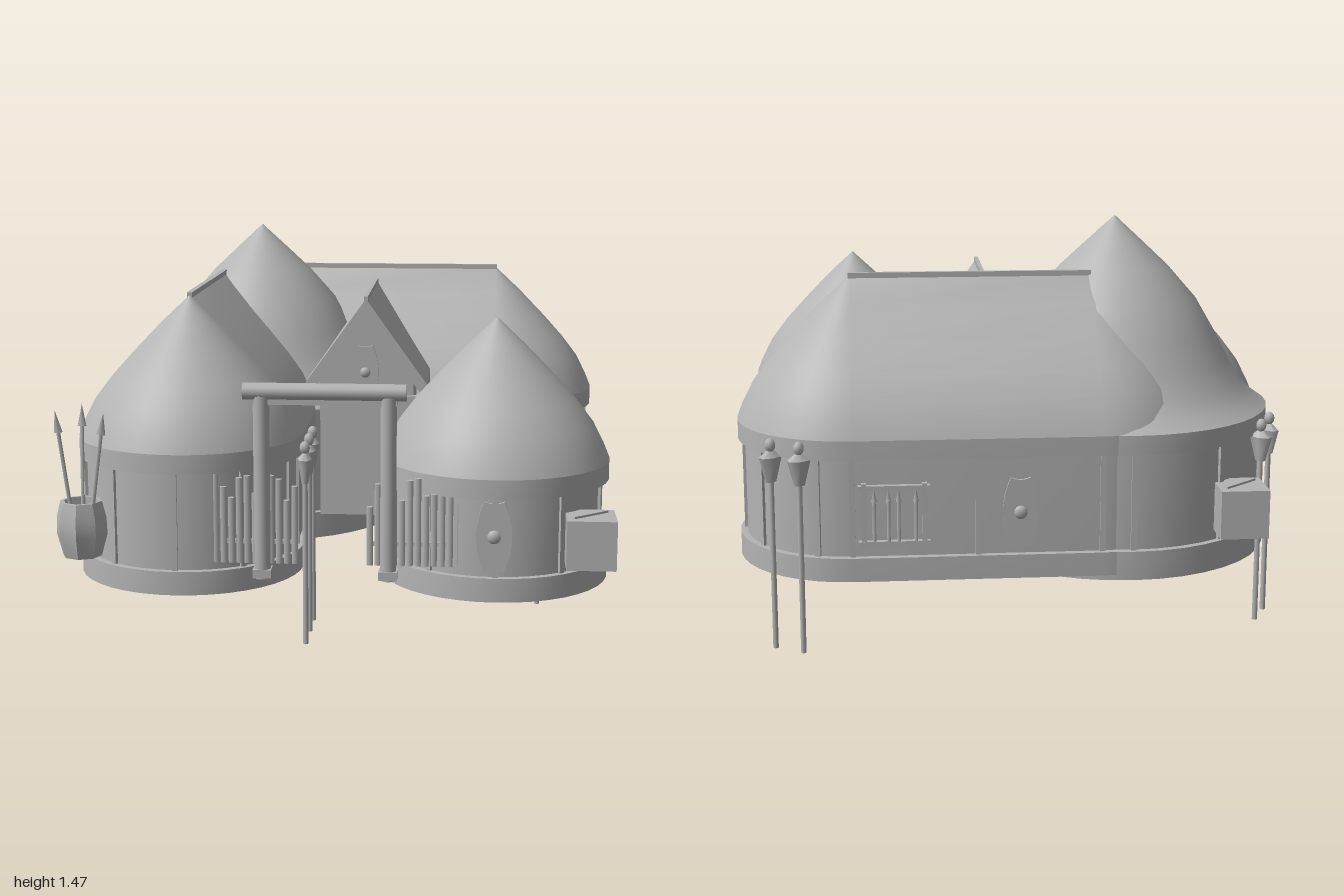
import * as THREE from 'three';
import { toCreasedNormals } from 'three/addons/utils/BufferGeometryUtils.js';

const grey = new THREE.MeshStandardMaterial({ color: 0xb4b4b4, side: THREE.DoubleSide });
grey.name = 'plain grey';

function add(parent, name, geometry, x = 0, y = 0, z = 0, ry = 0) {
  const m = new THREE.Mesh(geometry, grey);
  m.name = name;
  m.position.set(x, y, z);
  m.rotation.y = ry;
  parent.add(m);
  return m;
}
const box = (w, h, d) => new THREE.BoxGeometry(w, h, d);
const rod = (r, h, n = 8) => new THREE.CylinderGeometry(r, r, h, n);
const poly = pts => new THREE.Shape(pts.map(p => new THREE.Vector2(...p)));
const slab = (shape, depth) => new THREE.ExtrudeGeometry(shape, { depth, bevelEnabled: false });

// Sweeps a (radius, height) profile around a circle stretched along z by len
function loft(profile, len) {
  const cols = [], pos = [], idx = [], n = 20;
  for (const half of [0, 1])
    for (let i = 0; i <= n; i++) cols.push([-Math.PI / 2 + half * Math.PI + (i / n) * Math.PI, half ? -len / 2 : len / 2]);
  const c = cols.length;
  for (const [r, y] of profile)
    for (const [a, dz] of cols) pos.push(r * Math.sin(a), y, r * Math.cos(a) + dz);
  for (let i = 0; i < profile.length - 1; i++)
    for (let j = 0; j < c; j++) {
      const a = i * c + j, b = i * c + (j + 1) % c;
      idx.push(a, b, b + c, a, b + c, a + c);
    }
  const g = new THREE.BufferGeometry();
  g.setAttribute('position', new THREE.Float32BufferAttribute(pos, 3));
  g.setIndex(idx);
  return toCreasedNormals(g, 0.35);
}

// Roof curves as (share of radius, share of height)
const dome = [[1, 0], [0.95, 0.1], [0.85, 0.26], [0.7, 0.42], [0.5, 0.6], [0.25, 0.81], [0, 1]];
const bell = [[1, 0], [0.92, 0.045], [0.83, 0.125], [0.74, 0.25], [0.65, 0.39], [0.53, 0.56], [0.35, 0.73], [0.17, 0.87], [0, 1]];

// Round or long house: skirt with floor, wall, battens and thatch roof
function house(parent, name, { x, z, R, len = 0, ry = 0, eave, top, foot, curve = dome }) {
  const g = new THREE.Group();
  g.name = name;
  g.position.set(x, 0, z);
  g.rotation.y = ry;
  parent.add(g);
  const w = R - 0.025, kink = eave + 0.07;
  add(g, 'base', loft([[0, 0.343], [R - 0.006, 0.343], [R - 0.006, foot], [R, foot], [R, 0.35], [w, 0.35]], len));
  add(g, 'wall', loft([[w, 0.345], [w, eave + 0.04]], len));
  add(g, 'roof', loft([[w, eave], [R, eave], ...curve.map(([t, h]) => [R * t, kink + h * (top - kink)])], len));
  const h = eave - 0.35, y = 0.35 + h / 2;
  for (let i = 0; i < 10; i++) {
    const a = i * Math.PI / 5, c = Math.cos(a);
    add(g, 'batten', box(0.02, h, 0.02), w * Math.sin(a), y, w * c + Math.sign(c) * len / 2, a);
  }
  if (len) for (const s of [-1, 1]) for (let k = -1; k <= 1; k++)
    add(g, 'batten', box(0.02, h, 0.02), s * w, y, k * len / 2);
}

// Long shield with a boss, facing +z
function shield(parent, x, y, z, ry, s = 1) {
  const sh = new THREE.Shape();
  sh.moveTo(-0.035, -0.125);
  sh.quadraticCurveTo(0, -0.11, 0.035, -0.125);
  sh.quadraticCurveTo(0.09, 0, 0.035, 0.125);
  sh.quadraticCurveTo(0, 0.11, -0.035, 0.125);
  sh.quadraticCurveTo(-0.09, 0, -0.035, -0.125);
  const g = new THREE.Group();
  g.name = 'shield';
  add(g, 'shieldPlate', slab(sh, 0.015));
  add(g, 'shieldBoss', new THREE.SphereGeometry(0.025, 12, 8), 0, 0, 0.012).scale.z = 0.6;
  g.position.set(x, y, z);
  g.rotation.y = ry;
  g.scale.setScalar(s);
  parent.add(g);
}

function spear(parent, len, tipLen) {
  const g = new THREE.Group();
  g.name = 'spear';
  add(g, 'shaft', rod(0.007, len, 6), 0, len / 2, 0);
  const tip = add(g, 'spearTip', new THREE.ConeGeometry(tipLen * 0.2, tipLen, 4), 0, len + tipLen * 0.4, 0);
  tip.scale.z = 0.5;
  parent.add(g);
  return g;
}

// Wooden rack with short spears, facing +z
function rack(parent, x, y, z, ry) {
  const g = new THREE.Group();
  g.name = 'weaponRack';
  for (const s of [-1, 1]) {
    add(g, 'rackPost', box(0.018, 0.23, 0.028), s * 0.105, 0, 0.01);
    add(g, 'rackRail', box(0.25, 0.016, 0.025), 0, s * 0.1, 0.012);
  }
  for (const px of [-0.07, -0.02, 0.015, 0.075]) spear(g, 0.16, 0.05).position.set(px, -0.105, 0.018);
  g.position.set(x, y, z);
  g.rotation.y = ry;
  parent.add(g);
}

// Carved figure on a tall pole
function totem(parent, x, z, ry) {
  const g = new THREE.Group();
  g.name = 'totem';
  add(g, 'totemPole', rod(0.01, 0.64), 0, 0.32, 0);
  const body = add(g, 'totemBody', new THREE.CylinderGeometry(0.044, 0.02, 0.09, 6), 0, 0.655, 0);
  const shoulders = add(g, 'totemShoulders', new THREE.CylinderGeometry(0.014, 0.044, 0.022, 6), 0, 0.711, 0);
  body.scale.z = shoulders.scale.z = 0.62;
  add(g, 'totemHead', new THREE.SphereGeometry(0.019, 8, 6), 0, 0.742, 0).scale.y = 1.3;
  g.position.set(x, 0, z);
  g.rotation.y = ry;
  parent.add(g);
}

// Faceted barrel holding three spears
function basket(parent, x, z) {
  const g = new THREE.Group();
  g.name = 'spearBasket';
  const prof = [[0, 0.38], [0.07, 0.38], [0.092, 0.46], [0.09, 0.52], [0.075, 0.58], [0.062, 0.58], [0.062, 0.55], [0, 0.55]];
  add(g, 'basketBody', toCreasedNormals(new THREE.LatheGeometry(prof.map(p => new THREE.Vector2(...p)), 8), 0.3));
  for (const [rx, rz] of [[0.1, 0.1], [-0.08, 0], [0.12, -0.16]]) {
    const s = spear(g, 0.45, 0.08);
    s.position.set(-rz * 0.15, 0.4, rx * 0.15);
    s.rotation.set(rx, 0, rz);
  }
  g.position.set(x, 0, z);
  parent.add(g);
}

export function createModel() {
  const m = new THREE.Group();
  m.name = 'village';
  house(m, 'cornerHouse', { x: -0.41, z: -0.415, R: 0.58, eave: 0.7, top: 1.47, foot: 0.245, curve: bell });
  house(m, 'sideHouse', { x: -0.553, z: 0.1375, R: 0.414, len: 0.875, eave: 0.7, top: 1.28, foot: 0.265 });
  house(m, 'backHouse', { x: 0.1375, z: -0.58, R: 0.414, len: 0.875, ry: Math.PI / 2, eave: 0.7, top: 1.28, foot: 0.265 });
  house(m, 'roundHut', { x: 0.57, z: 0.575, R: 0.415, eave: 0.63, top: 1.21, foot: 0.265 });
  add(m, 'sideRidge', box(0.02, 0.02, 0.87), -0.553, 1.28, 0.14);
  add(m, 'backRidge', box(0.88, 0.02, 0.02), 0.14, 1.28, -0.58);

  // Gabled entrance
  const porch = new THREE.Group();
  porch.name = 'porch';
  porch.position.x = 0.067;
  m.add(porch);
  const roof = poly([[-0.24, 0.82], [0, 1.15], [0.24, 0.82], [0.24, 0.89], [0, 1.225], [-0.24, 0.89]]);
  add(porch, 'porchRoof', slab(roof, 0.7), 0, 0, -0.52);
  const wall = poly([[-0.185, 0.35], [0.185, 0.35], [0.185, 0.9], [0, 1.155], [-0.185, 0.9]]);
  add(porch, 'porchWall', slab(wall, 0.5), 0, 0, -0.38);
  add(porch, 'porchBeam', box(0.4, 0.025, 0.03), 0, 0.825, 0.13);
  add(porch, 'porchRidge', box(0.015, 0.02, 0.7), 0, 1.225, -0.17);
  shield(porch, -0.005, 0.93, 0.125, 0, 0.85);

  // Covered bridge with an outer screen that flares towards both houses
  add(m, 'bridge', box(0.125, 0.355, 0.64), 0.843, 0.548, 0.005);
  const screen = poly([[0.84, -0.39], [0.955, -0.43], [0.92, -0.3], [0.907, -0.15], [0.907, 0.15], [0.92, 0.3], [0.955, 0.43], [0.84, 0.39]]);
  add(m, 'bridgeScreen', slab(screen, 0.25), 0, 0.62, 0).rotation.x = Math.PI / 2;
  rack(m, 0.907, 0.49, 0.06, Math.PI / 2);

  // Gate and palisade
  for (const x of [-0.243, 0.198]) {
    add(m, 'gatePost', rod(0.029, 0.65, 10), x, 0.655, 0.962);
    add(m, 'gatePostFoot', box(0.065, 0.03, 0.06), x, 0.35, 0.962);
  }
  add(m, 'gateBeam', rod(0.03, 0.565, 12), -0.023, 0.995, 0.962).rotation.z = Math.PI / 2;
  add(m, 'gateLintel', box(0.5, 0.02, 0.04), -0.023, 0.96, 0.955);
  for (const s of [-1, 1]) {
    for (let i = 0; i < 13; i++) {
      const h = 0.21 + 0.11 * Math.abs(Math.sin(i * 2.3));
      add(m, 'fencePicket', rod(0.0125, h, 6), s * 0.3 + (i - 6) * 0.028, 0.375 + h / 2, 0.93);
    }
    add(m, 'fenceRail', box(0.34, 0.015, 0.01), s * 0.3, 0.45, 0.92);
  }

  // Wall shields and racks
  shield(m, 0.565, 0.495, 0.96, 0);
  shield(m, -0.01, 0.5, -0.965, Math.PI);
  rack(m, 0.43, 0.5, -0.965, Math.PI);
  shield(m, -0.938, 0.5, 0.38, -Math.PI / 2);
  rack(m, -0.938, 0.5, 0.1, -Math.PI / 2);

  // Totems
  for (const z of [0.41, 0.545, 0.695]) totem(m, -0.12, z, Math.PI / 2);
  for (const z of [-0.15, -0.02, 0.13]) totem(m, 0.75, z, Math.PI / 2);
  totem(m, 0.755, -0.965, 0.3);
  totem(m, 0.855, -0.91, 0.6);
  totem(m, -0.905, -0.765, -0.8);
  totem(m, -0.96, -0.66, -1.1);

  // Crates and baskets
  for (const [x, z] of [[0.9, 0.91], [-0.802, -0.91]]) {
    add(m, 'crate', box(0.172, 0.175, 0.175), x, 0.475, z);
    add(m, 'crateStick', box(0.16, 0.008, 0.008), x, 0.566, z, 0.7);
  }
  basket(m, -0.9, 0.895);
  basket(m, 0.505, -0.065);
  return m;
}
